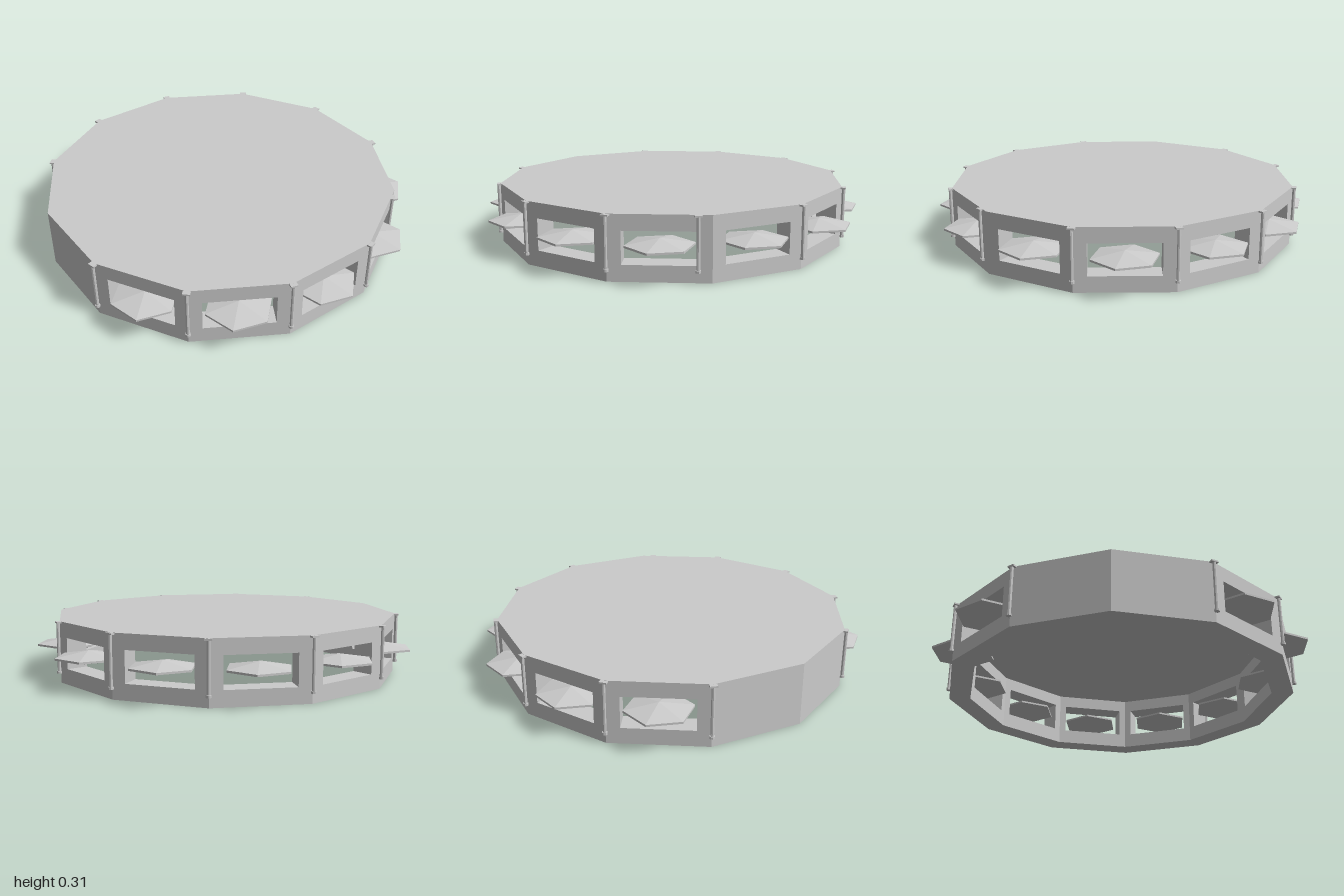
import * as THREE from 'three';

const SIDES = 12, STEP = (Math.PI * 2) / SIDES;
const APOTHEM = 0.89, THICK = 0.11, HEIGHT = 0.315, PLATE = 0.01;
const TAN = Math.tan(STEP / 2), HALF = APOTHEM * TAN, CORNER = APOTHEM / Math.cos(STEP / 2);
const SOLID = [8, 9]; // walls without a window, counted from the front towards the left

const material = new THREE.MeshStandardMaterial({ color: 0xcccccc, flatShading: true });

function add(parent, name, geometry, x = 0, y = 0, z = 0) {
  const mesh = new THREE.Mesh(geometry, material);
  mesh.name = name;
  mesh.position.set(x, y, z);
  parent.add(mesh);
  return mesh;
}

function rect(path, x0, y0, x1, y1) {
  path.moveTo(x0, y0);
  path.lineTo(x1, y0);
  path.lineTo(x1, y1);
  path.lineTo(x0, y1);
  path.closePath();
  return path;
}

// One wall panel, its ends mitred to meet the neighbouring panels
function wallGeometry(hasWindow) {
  const shape = rect(new THREE.Shape(), -HALF, 0, HALF, HEIGHT - PLATE);
  if (hasWindow) shape.holes.push(rect(new THREE.Path(), -0.172, 0.08, 0.172, 0.238));
  const g = new THREE.ExtrudeGeometry(shape, { depth: THICK, bevelEnabled: false });
  g.translate(0, 0, APOTHEM - THICK);
  const p = g.attributes.position;
  for (let i = 0; i < p.count; i++) {
    if (Math.abs(p.getX(i)) > HALF - 0.001) p.setX(i, Math.sign(p.getX(i)) * p.getZ(i) * TAN);
  }
  g.computeVertexNormals();
  return g;
}

// Flat six-sided crystal with a thin band round its middle
function crystalGeometry() {
  const profile = [[0, -0.034], [0.165, -0.005], [0.165, 0.005], [0, 0.034]];
  return new THREE.LatheGeometry(profile.map(([x, y]) => new THREE.Vector2(x, y)), 6, THREE.MathUtils.degToRad(14));
}

// Thin corner post with a flat head and a small foot
function createPost(angle, radius) {
  const post = new THREE.Group();
  post.name = 'cornerPost';
  add(post, 'postShaft', new THREE.CylinderGeometry(0.009, 0.009, 0.26, 8), 0, 0.182, radius);
  add(post, 'postHead', new THREE.BoxGeometry(0.036, 0.008, 0.045), 0, 0.3105, radius - 0.012);
  add(post, 'postFoot', new THREE.CylinderGeometry(0.013, 0.013, 0.012, 8), 0, 0.056, radius);
  post.rotation.y = angle;
  return post;
}

export function createModel() {
  const model = new THREE.Group();
  model.name = 'windowedRing';
  const body = new THREE.Group();
  body.name = 'body';
  body.position.x = -0.06;
  model.add(body);

  // Roof plate
  add(body, 'roofPlate', new THREE.CylinderGeometry(CORNER, CORNER, PLATE, SIDES, 1, false, STEP / 2), 0, HEIGHT - PLATE / 2, 0);

  const windowWall = wallGeometry(true), solidWall = wallGeometry(false), crystal = crystalGeometry();
  for (let i = 0; i < SIDES; i++) {
    const a = i * STEP, solid = SOLID.includes(i);

    // Walls
    add(body, solid ? 'solidWall' : 'windowWall', solid ? solidWall : windowWall).rotation.y = a;

    // Crystals sitting in the windows, all turned the same way
    if (!solid) {
      const r = i === 3 ? 0.87 : i % 6 === 0 ? 0.84 : 0.85;
      add(body, 'crystal', crystal, Math.sin(a) * r, 0.164, Math.cos(a) * r);
    }

    // Corner posts: none between the solid walls... and one set slightly off its corner
  }
  for (let i = 0; i < SIDES; i++) {
    if (i === 9) continue;
    const a = (i - 0.5) * STEP;
    body.add(i === 2 ? createPost(Math.atan2(0.6, 0.69), 0.914) : createPost(a, 0.93));
  }
  return model;
}
